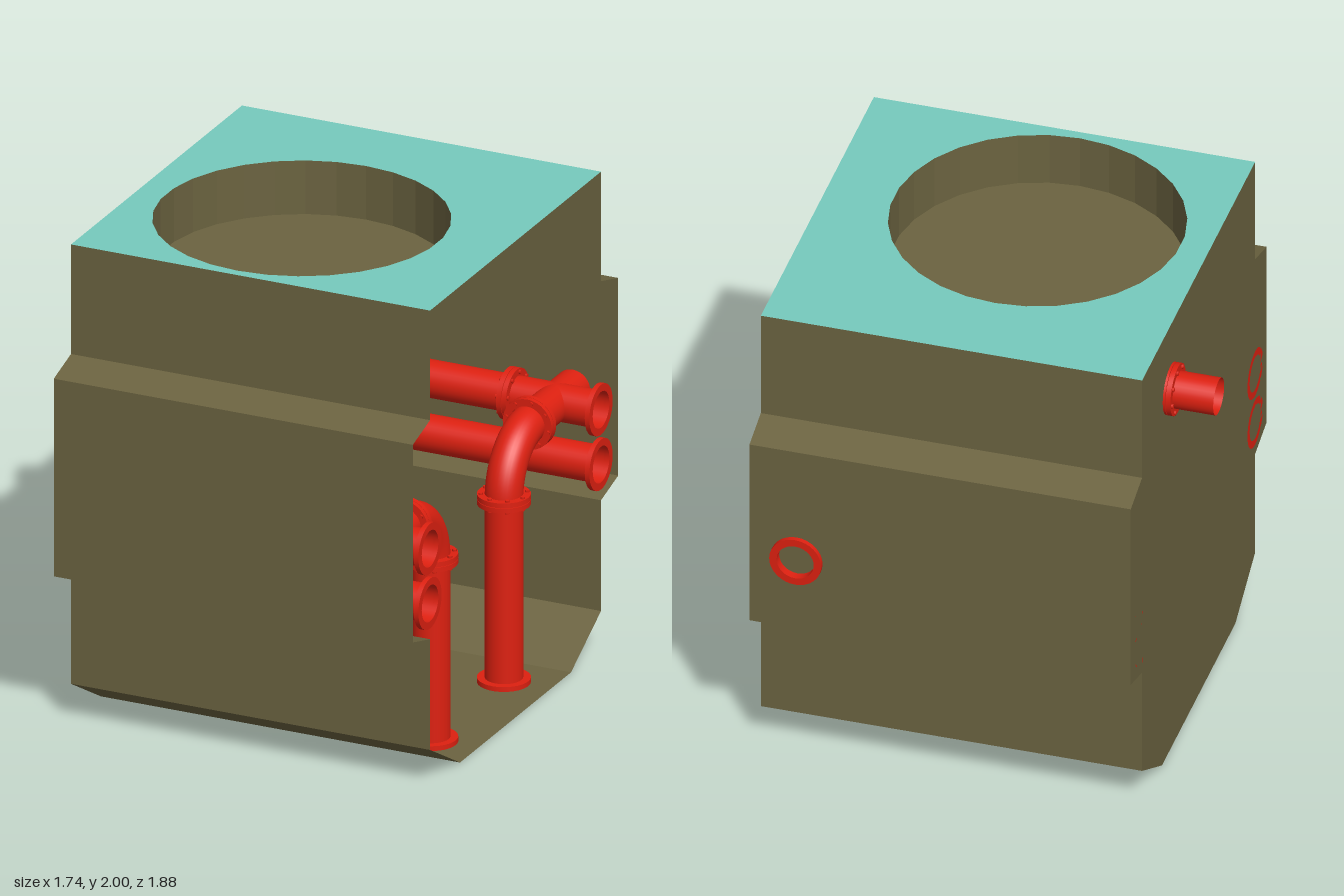
import * as THREE from 'three';
import { toCreasedNormals } from 'three/addons/utils/BufferGeometryUtils.js';

const mat = (color) => new THREE.MeshStandardMaterial({ color, side: THREE.DoubleSide });
const V = (x, y, z) => new THREE.Vector3(x, y, z);
const R = 0.075, FLANGE_R = 0.105, BEND = 0.23;
const X0 = -0.675, X1 = 0.865, MID_Z = 0.02;

export function createModel() {
  const model = new THREE.Group();
  const hullMat = mat(0x6b6340), deckMat = mat(0x76cabd), pipeMat = mat(0xdd2010);

  function add(name, geometry, material, parent = model) {
    const mesh = new THREE.Mesh(geometry, material);
    mesh.name = name;
    parent.add(mesh);
    return mesh;
  }

  // Hull section: half profile [distance from middle, height], mirrored front to back
  const half = [[0.5, 0], [0.77, 0.155], [0.77, 0.62], [0.925, 0.665], [0.925, 1.495], [0.77, 1.54], [0.77, 2]];
  const section = [
    ...half.slice().reverse().map(([d, y]) => [MID_Z - d, y]),
    ...half.map(([d, y]) => [MID_Z + d, y]),
  ];
  const skin = [];
  for (let i = 0; i < section.length - 1; i++) {
    const [za, ya] = section[i], [zb, yb] = section[i + 1];
    skin.push(X0, ya, za, X1, ya, za, X1, yb, zb, X0, ya, za, X1, yb, zb, X0, yb, zb);
  }
  const skinGeo = new THREE.BufferGeometry();
  skinGeo.setAttribute('position', new THREE.Float32BufferAttribute(skin, 3));
  skinGeo.computeVertexNormals();
  add('hullSkin', skinGeo, hullMat);

  // Closed end wall; the other end stays open
  const wall = new THREE.Shape(section.map(([z, y]) => new THREE.Vector2(z, y)));
  add('endWall', new THREE.ShapeGeometry(wall).rotateY(-Math.PI / 2).translate(X0, 0, 0), hullMat);

  // Deck with a round opening
  const well = { x: 0.02, z: 0.17, r: 0.58, depth: 0.225, sides: 30 };
  const zBack = MID_Z - 0.77, zFront = MID_Z + 0.77;
  const deck = new THREE.Shape([[X0, -zFront], [X1, -zFront], [X1, -zBack], [X0, -zBack]]
    .map(([x, y]) => new THREE.Vector2(x, y)));
  const rim = [];
  for (let i = 0; i < well.sides; i++) {
    const a = (i / well.sides) * Math.PI * 2;
    rim.push(new THREE.Vector2(well.x + well.r * Math.sin(a), -well.z - well.r * Math.cos(a)));
  }
  deck.holes.push(new THREE.Path(rim));
  add('deck', new THREE.ShapeGeometry(deck).rotateX(-Math.PI / 2).translate(0, 2, 0), deckMat);

  // Sunken well below the opening
  const wellWall = new THREE.CylinderGeometry(well.r, well.r, well.depth, well.sides, 1, true);
  add('wellWall', toCreasedNormals(wellWall, 0.05).translate(well.x, 2 - well.depth / 2, well.z), hullMat);
  const wellFloor = new THREE.CircleGeometry(well.r, well.sides, Math.PI / 2).rotateX(-Math.PI / 2);
  add('wellFloor', wellFloor.translate(well.x, 2 - well.depth, well.z), hullMat);

  // Pipework
  const pipes = new THREE.Group();
  pipes.name = 'pipework';
  model.add(pipes);

  // Stand a y-axis geometry at a point, along a direction
  function aim(geometry, at, dir) {
    const q = new THREE.Quaternion().setFromUnitVectors(V(0, 1, 0), dir);
    return geometry.applyQuaternion(q).translate(at.x, at.y, at.z);
  }

  // Straight open pipe; a saddle start is cut to sit on a pipe running along x
  function pipe(name, a, b, saddle = false) {
    const dir = b.clone().sub(a), length = dir.length();
    dir.normalize();
    const geo = new THREE.CylinderGeometry(R, R, length, 32, 1, true).translate(0, length / 2, 0);
    aim(geo, a, dir);
    if (saddle) {
      const pos = geo.attributes.position, v = V(0, 0, 0);
      const side = dir.clone().cross(V(1, 0, 0));
      for (let i = 0; i < pos.count; i++) {
        v.fromBufferAttribute(pos, i).sub(a);
        if (v.dot(dir) > length / 2) continue;
        const s = v.dot(side);
        v.addScaledVector(dir, Math.sqrt(Math.max(0, R * R - s * s))).add(a);
        pos.setXYZ(i, v.x, v.y, v.z);
      }
    }
    add(name, geo, pipeMat, pipes);
  }

  // Quarter bend between two ends around a corner point
  function elbow(name, a, corner, b) {
    const k = 0.5523;
    const curve = new THREE.CubicBezierCurve3(a, a.clone().lerp(corner, k), b.clone().lerp(corner, k), b);
    add(name, new THREE.TubeGeometry(curve, 20, R, 32), pipeMat, pipes);
  }

  // Flat ring starting at a point, thickness along dir
  function flange(at, dir, thick = 0.02) {
    const pts = [[R, 0], [FLANGE_R, 0], [FLANGE_R, thick], [R, thick], [R, 0]]
      .map(([x, y]) => new THREE.Vector2(x, y));
    const geo = toCreasedNormals(new THREE.LatheGeometry(pts, 32), 0.6);
    add('flange', aim(geo, at, dir), pipeMat, pipes);
  }

  // Two flanges bolted face to face
  function joint(at, dir) {
    flange(at.clone().addScaledVector(dir, 0.001), dir);
    flange(at.clone().addScaledVector(dir, -0.021), dir);
    for (let i = 0; i < 8; i++) {
      const a = (i / 8) * Math.PI * 2 + 0.2;
      const bolt = new THREE.CylinderGeometry(0.009, 0.009, 0.058, 6)
        .translate(0.091 * Math.cos(a), 0, 0.091 * Math.sin(a));
      add('bolt', aim(bolt, at, dir), pipeMat, pipes);
    }
  }

  const XP = V(1, 0, 0), XN = V(-1, 0, 0), UP = V(0, 1, 0), ZP = V(0, 0, 1);
  const riserX = 0.67, diagX = -0.455, HIGH = 1.0, LOW = 0.77;
  const frontZ = 0.79, backZ = -0.75;

  // Long mains running the length of the hull
  for (const z of [frontZ, backZ]) {
    for (const y of [HIGH, LOW]) {
      pipe('mainPipe', V(X0, y, z), V(X1, y, z));
      flange(V(X1, y, z), XN);
      flange(V(X0, y, z), XP);
    }
    joint(V(0.485, HIGH, z), XP);
  }
  joint(V(diagX + 0.19, HIGH, frontZ), XP);

  // Risers from the floor, bending out to the upper mains
  for (const [z, mainZ, s] of [[0.37, frontZ, 1], [-0.285, backZ, -1]]) {
    const bottom = V(riserX, LOW, z), out = V(riserX, HIGH, z + s * BEND);
    pipe('riser', V(riserX, 0, z), bottom);
    flange(V(riserX, 0, z), UP);
    joint(bottom, UP);
    elbow('riserElbow', bottom, V(riserX, HIGH, z), out);
    joint(out, ZP);
    pipe('riserBranch', V(riserX, HIGH, mainZ), out, true);
  }

  // Outlet through the back wall
  pipe('backOutlet', V(riserX, HIGH, backZ), V(riserX, HIGH, -0.94), true);
  flange(V(riserX, HIGH, -0.94), ZP);

  // Sloping pipe from the front main up to the side outlet
  const low = V(diagX, HIGH, frontZ), corner = V(diagX, 1.705, -0.365);
  const slope = corner.clone().sub(low).normalize();
  const top = corner.clone().addScaledVector(slope, -BEND);
  const exit = V(diagX - BEND, 1.705, -0.365);
  pipe('slopingPipe', low, top, true);
  joint(low.clone().addScaledVector(slope, 0.17), slope);
  joint(top.clone().addScaledVector(slope, -0.18), slope);
  joint(top, slope);
  elbow('slopeElbow', top, corner, exit);
  joint(exit, XP);
  pipe('sideOutlet', exit, V(-0.87, 1.705, -0.365));

  return model;
}
